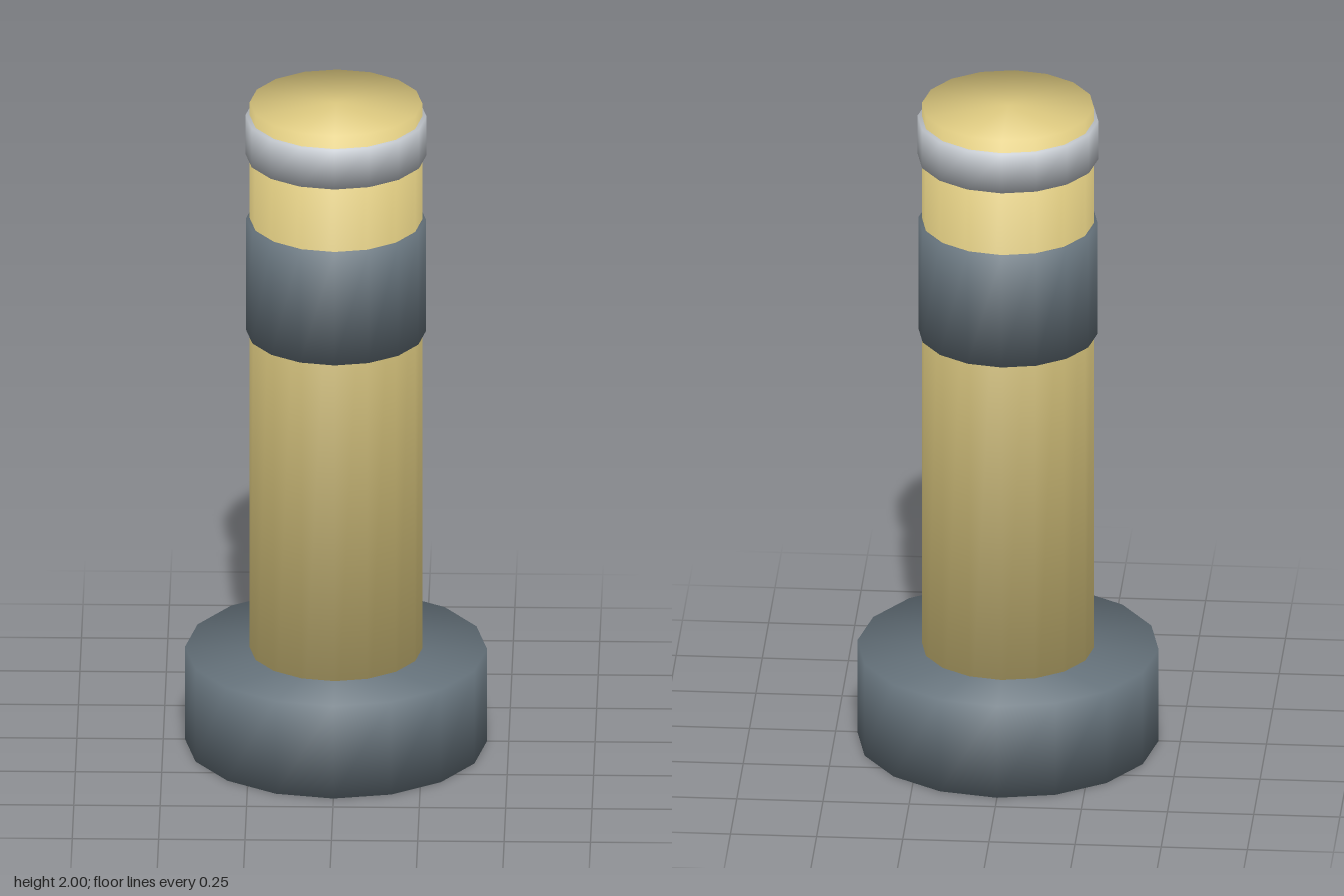
import * as THREE from 'three';

const SIDES = 16;

// Capped cylinder from y0 to y1, with normals blended softly over its rims
function drum(name, radius, y0, y1, material) {
  const geometry = new THREE.CylinderGeometry(radius, radius, y1 - y0, SIDES);
  const pos = geometry.attributes.position;
  const n = new THREE.Vector3();
  for (let i = 0; i < pos.count; i++) {
    n.set(pos.getX(i), Math.sign(pos.getY(i)) * radius, pos.getZ(i)).normalize();
    geometry.attributes.normal.setXYZ(i, n.x, n.y, n.z);
  }
  const mesh = new THREE.Mesh(geometry, material);
  mesh.name = name;
  mesh.position.y = (y0 + y1) / 2;
  return mesh;
}

export function createModel() {
  const yellow = new THREE.MeshStandardMaterial({ color: 0xdfcb81 });
  yellow.name = 'paleYellow';
  const slate = new THREE.MeshStandardMaterial({ color: 0x67747d });
  slate.name = 'slateGrey';
  const silver = new THREE.MeshStandardMaterial({ color: 0xc2c7cd });
  silver.name = 'silver';

  const model = new THREE.Group();
  model.name = 'bollard';
  model.add(
    drum('base', 0.437, 0, 0.29, slate),
    drum('post', 0.25, 0.005, 2, yellow),
    drum('darkBand', 0.26, 1.285, 1.637, slate),
    drum('reflectiveRing', 0.262, 1.838, 1.96, silver),
  );
  return model;
}
